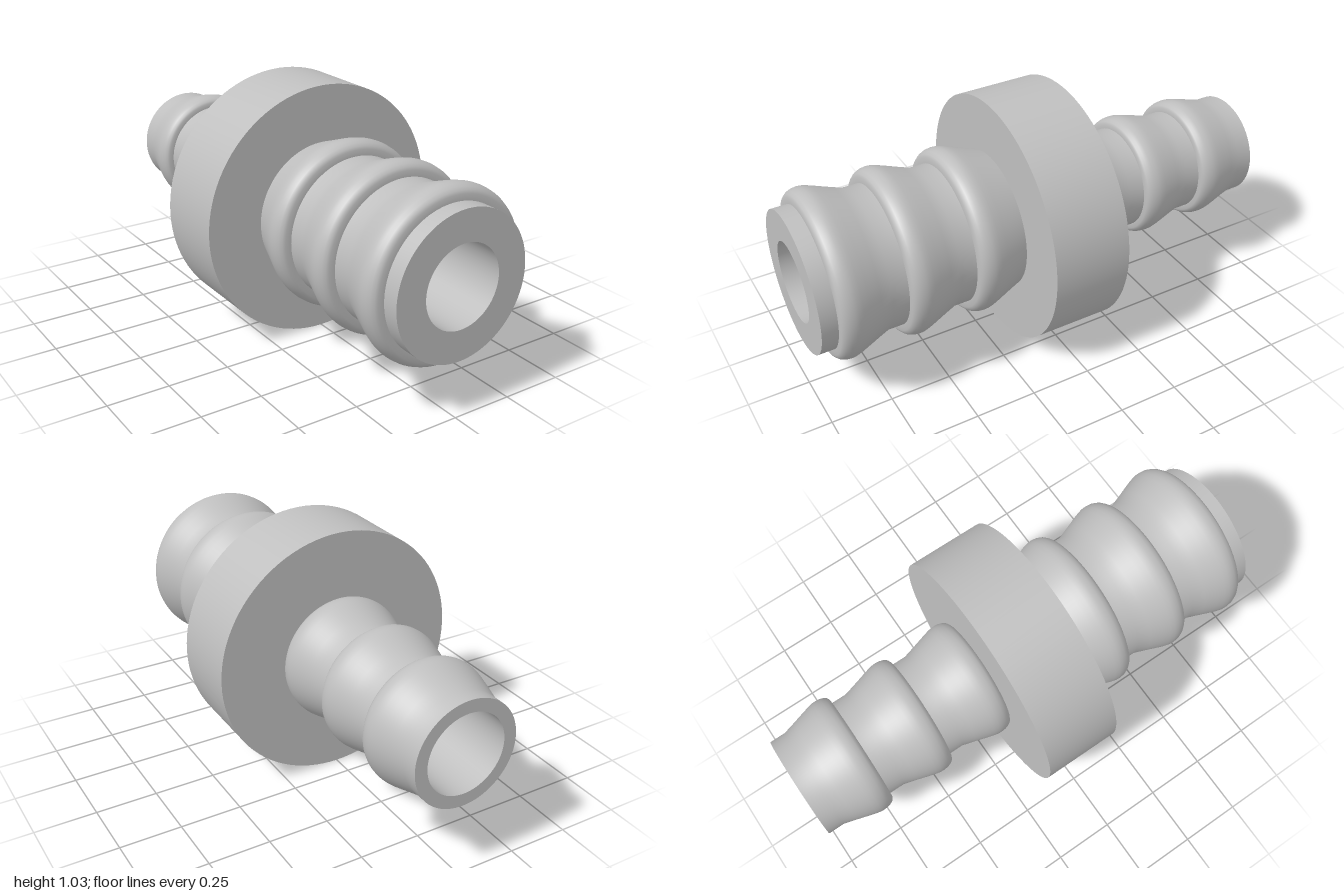
import * as THREE from 'three';
import { toCreasedNormals } from 'three/addons/utils/BufferGeometryUtils.js';

const BORE = 0.162, FLANGE_R = 0.513, FLANGE_Z = 0.16;

// Revolves [radius, z] points, ordered towards +z on the outside, about the z axis.
function turned(name, profile, material) {
  const points = profile.map(([r, z]) => new THREE.Vector2(r, z));
  const geometry = new THREE.LatheGeometry(points, 96).rotateX(Math.PI / 2);
  const mesh = new THREE.Mesh(toCreasedNormals(geometry, 0.6), material);
  mesh.name = name;
  return mesh;
}

// One barb: long taper rising towards +z, then a rounded steep shoulder at z.
function barb(radius, height, z) {
  const shape = [
    [0, -0.215], [0.33, -0.165], [0.68, -0.115], [0.88, -0.085], [0.98, -0.065],
    [1, -0.05], [0.96, -0.032], [0.84, -0.016], [0.66, -0.005], [0.45, 0], [0, 0],
  ];
  return shape.map(([h, dz]) => [radius + h * height, z + dz]);
}

export function createModel() {
  const group = new THREE.Group();
  const grey = new THREE.MeshStandardMaterial({ color: 0xbfbfbf });
  grey.name = 'grey';

  // Wide front hose tail with its end ring
  const front = [0.375, 0.655, 0.935].flatMap((z) => barb(0.286, 0.054, z));
  group.add(turned('frontHoseTail', [...front, [0.286, 1], [BORE, 1]], grey));

  // Narrow back hose tail with its end ring
  const back = [-0.72, -0.44, -0.16].flatMap((z) => barb(0.213, 0.042, z));
  group.add(turned('backHoseTail', [[BORE, -1], [0.213, -1], ...back], grey));

  // Central flange
  group.add(turned('flange', [
    [BORE, -FLANGE_Z], [FLANGE_R, -FLANGE_Z], [FLANGE_R, FLANGE_Z], [BORE, FLANGE_Z],
  ], grey));

  // Through bore, facing inwards
  group.add(turned('bore', [[BORE, 1], [BORE, -1]], grey));

  group.children.forEach((part) => { part.position.y = FLANGE_R; });
  return group;
}
